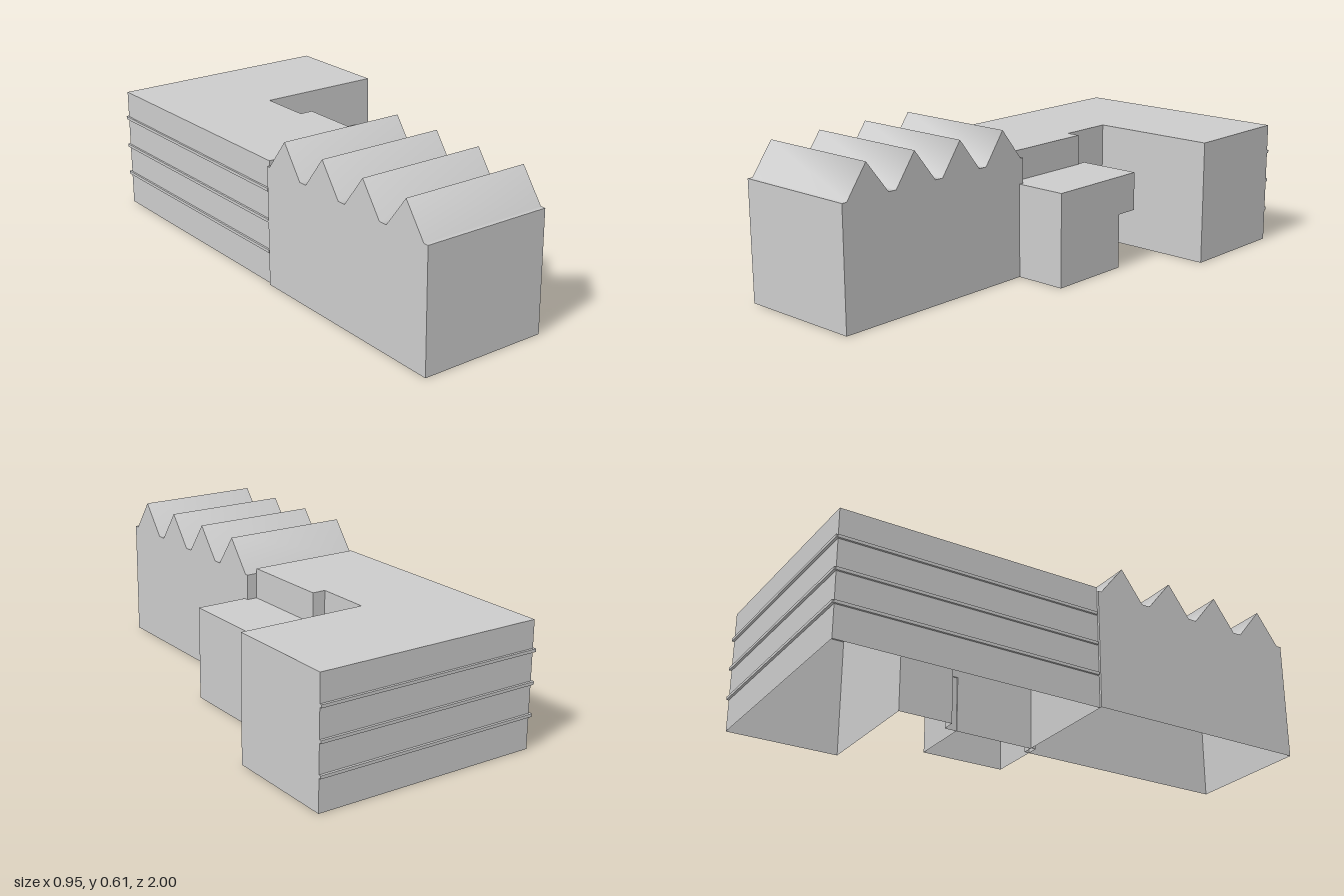
import * as THREE from 'three';

const material = new THREE.MeshStandardMaterial({ color: 0xcccccc, side: THREE.DoubleSide });

// Strip swept along +z by depth from a counter-clockwise 2D path
function ribbon(points, depth, closed, smooth) {
  const pos = [], index = [], n = points.length;
  for (const [u, v] of points) pos.push(u, v, 0, u, v, depth);
  for (let i = 0; i < (closed ? n : n - 1); i++) {
    const a = i * 2, b = ((i + 1) % n) * 2;
    index.push(a, b, b + 1, a, b + 1, a + 1);
  }
  let g = new THREE.BufferGeometry();
  g.setAttribute('position', new THREE.Float32BufferAttribute(pos, 3));
  g.setIndex(index);
  if (!smooth) g = g.toNonIndexed();
  g.computeVertexNormals();
  return g;
}

// Flat outline at distance w along z
function cap(points, w, flip) {
  const g = new THREE.ShapeGeometry(new THREE.Shape(points.map(p => new THREE.Vector2(...p))));
  if (flip) g.scale(1, 1, -1).index.array.reverse();
  if (flip) g.computeVertexNormals();
  return g.translate(0, 0, w);
}

function add(group, name, geometry) {
  const mesh = new THREE.Mesh(geometry, material);
  mesh.name = name;
  group.add(mesh);
  return mesh;
}

// Profiles are drawn as (-z, y) and swept along x from x0 to x1
function sideGroup(name, x0) {
  const g = new THREE.Group();
  g.name = name;
  g.rotation.y = Math.PI / 2;
  g.position.x = x0;
  return g;
}

export function createModel() {
  const model = new THREE.Group();
  model.name = 'factoryBuilding';

  // L-shaped main block, open underneath; outline drawn as (x, -z)
  const main = new THREE.Group();
  main.name = 'mainBlock';
  main.rotation.x = -Math.PI / 2;
  const outline = [
    [-0.465, -0.085], [0.005, -0.085], [0.005, 0.3], [-0.05, 0.3],
    [-0.05, 0.525], [0.472, 0.525], [0.472, 0.99], [-0.465, 0.99],
  ];
  add(main, 'mainWalls', ribbon(outline, 0.5, true));
  add(main, 'mainRoof', cap(outline, 0.5));
  model.add(main);

  // Sawtooth hall, open underneath
  const eave = 0.48, hallWidth = 0.523;
  const hall = sideGroup('sawtoothHall', -0.475);
  const roof = [[-0.085, eave]];
  for (let i = 0; i < 4; i++) {
    const z = 0.2 + i * 0.229;
    roof.push([-(z - 0.101), eave], [-z, 0.607], [-(z + 0.092), eave]);
  }
  roof.push([-1, eave]);
  const hallProfile = [[-0.085, 0], ...roof, [-1, 0]];
  add(hall, 'hallRoof', ribbon(roof, hallWidth, false, true));
  add(hall, 'hallBackWall', ribbon([[-0.085, 0], [-0.085, eave]], hallWidth));
  add(hall, 'hallFrontWall', ribbon([[-1, eave], [-1, 0]], hallWidth));
  add(hall, 'hallLeftWall', cap(hallProfile, hallWidth));
  add(hall, 'hallRightWall', cap(hallProfile, 0, true));
  model.add(hall);

  // Annex with an overhanging upper storey
  const annex = sideGroup('annex', 0);
  const annexProfile = [
    [0.25, 0], [0.25, 0.222], [0.345, 0.222], [0.345, 0.378], [-0.105, 0.378], [-0.105, 0],
  ];
  add(annex, 'annexShell', ribbon(annexProfile, 0.262));
  add(annex, 'annexLeftWall', cap(annexProfile, 0.262));
  add(annex, 'annexRightWall', cap(annexProfile, 0, true));
  model.add(annex);

  // Thin floor bands along the back and right walls
  for (const y of [0.135, 0.26, 0.385]) {
    add(model, 'backBand', new THREE.BoxGeometry(0.943, 0.012, 0.018)).position.set(0.0005, y, -0.991);
    add(model, 'sideBand', new THREE.BoxGeometry(0.016, 0.012, 1.075)).position.set(-0.465, y, -0.4575);
  }
  return model;
}
